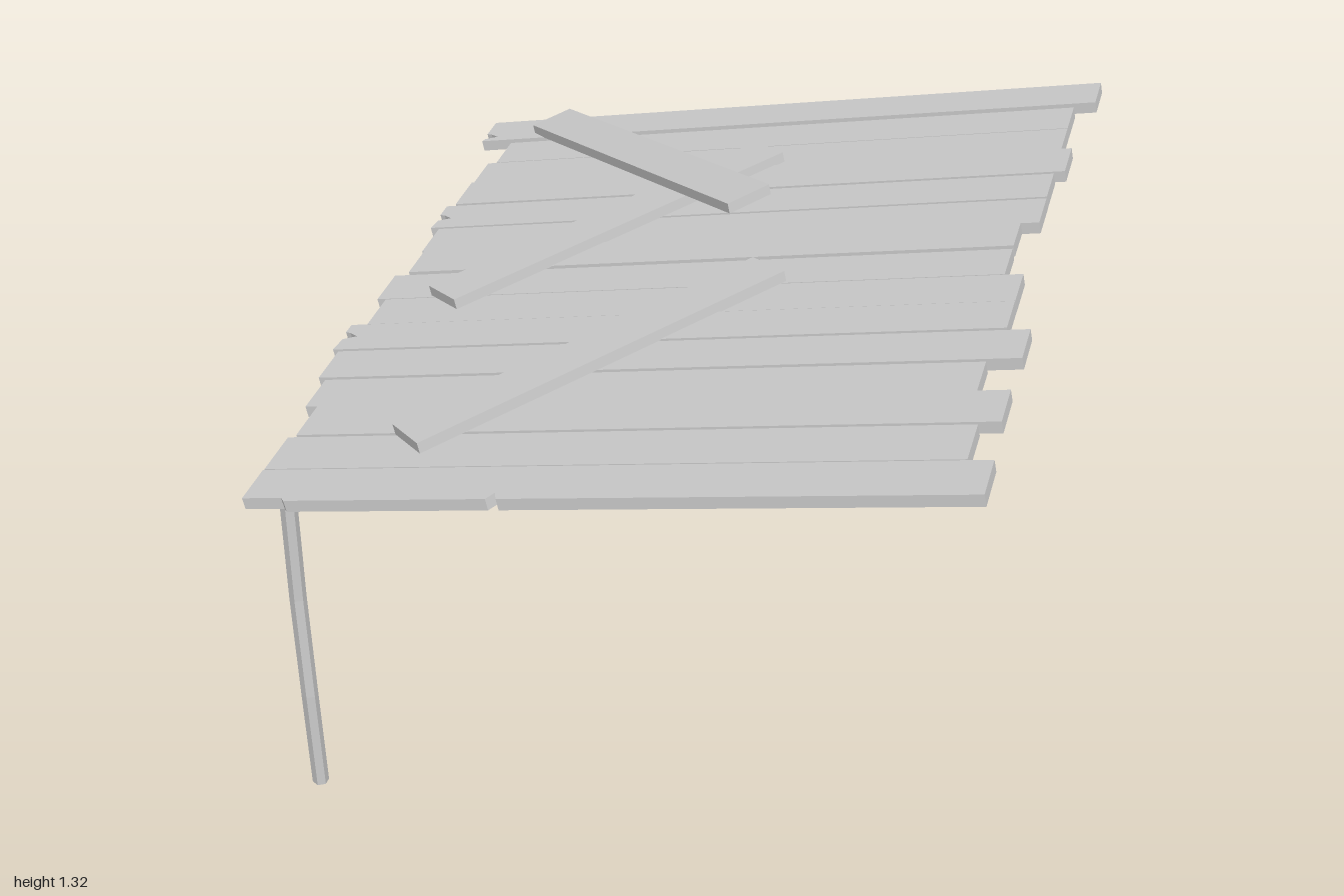
import * as THREE from 'three';

const SLOPE = 0.2;
const roofBottom = (x) => 1.107 + SLOPE * x;
const material = new THREE.MeshStandardMaterial({ color: 0xcccccc, flatShading: true });

function addMesh(parent, name, geometry) {
  const mesh = new THREE.Mesh(geometry, material);
  mesh.name = name;
  parent.add(mesh);
}

// Board with an outline in x/z, laid on the sloping surface given by heightAt
function board(outline, thickness, heightAt) {
  const shape = new THREE.Shape(outline.map(([x, z]) => new THREE.Vector2(x, -z)));
  const g = new THREE.ExtrudeGeometry(shape, { depth: thickness, bevelEnabled: false });
  g.rotateX(-Math.PI / 2);
  const p = g.attributes.position;
  for (let i = 0; i < p.count; i++) {
    const x = p.getX(i), y = p.getY(i);
    p.setXYZ(i, x - SLOPE * (y - thickness), heightAt(x) + y, p.getZ(i));
  }
  g.computeVertexNormals();
  return g;
}

// Crooked faceted pole through a few points
function pole(points, radius, sides = 6) {
  const pts = points.map((a) => new THREE.Vector3(...a));
  const n = pts.length - 1;
  const axis = pts[n].clone().sub(pts[0]).normalize();
  const turn = new THREE.Quaternion().setFromUnitVectors(new THREE.Vector3(0, 1, 0), axis);
  const g = new THREE.CylinderGeometry(radius, radius, 1, sides, n);
  const p = g.attributes.position, v = new THREE.Vector3();
  for (let i = 0; i < p.count; i++) {
    const ring = Math.round((p.getY(i) + 0.5) * n);
    v.set(p.getX(i), 0, p.getZ(i)).applyQuaternion(turn).add(pts[ring]);
    p.setXYZ(i, v.x, v.y, v.z);
  }
  g.computeVertexNormals();
  return g;
}

export function createModel() {
  const model = new THREE.Group();
  model.name = 'leanToRoof';

  // Roof planks: [zMin, zMax, xMin, xMax, lift]
  const planks = [
    [-1, -0.875, -0.895, 0.885, 0.006],
    [-0.863, -0.735, -0.8, 0.83, 0],
    [-0.732, -0.61, -0.825, 0.83, 0],
    [-0.605, -0.472, -0.83, 0.857, 0.003],
    [-0.467, -0.338, -0.855, 0.83, 0],
    [-0.335, -0.205, -0.83, 0.83, -0.003],
    [-0.2, -0.08, -0.82, 0.785, 0.002],
    [-0.067, 0.06, -0.855, 0.785, 0],
    [0.063, 0.192, -0.83, 0.83, 0],
    [0.198, 0.322, -0.872, 0.83, 0.003],
    [0.327, 0.455, -0.855, 0.885, 0],
    [0.46, 0.585, -0.835, 0.805, -0.004],
    [0.59, 0.72, -0.8, 0.88, 0],
    [0.725, 0.862, -0.82, 0.83, -0.003],
    [0.87, 1, -0.82, 0.888, 0],
  ];
  const splitEnds = { 0: -0.908, 4: -0.4, 9: 0.25 };
  const roof = new THREE.Group();
  roof.name = 'roofPlanks';
  planks.forEach(([z0, z1, x0, x1, lift], i) => {
    const outline = [[x0, z0], [x1, z0], [x1, z1]];
    // Chipped long edge on the front plank
    if (i === 14) outline.push([-0.19, z1], [-0.2, z1 - 0.025], [-0.215, z1], [-0.71, z1], [-0.72, z1 - 0.012], [x0, z1 - 0.012]);
    else outline.push([x0, z1]);
    // Split in the low end of some planks
    const s = splitEnds[i];
    if (s !== undefined) outline.push([x0 + 0.005, s + 0.02], [x0 + 0.04, s + 0.008], [x0 + 0.015, s - 0.01], [x0, s - 0.015]);
    addMesh(roof, 'roofPlank' + (i + 1), board(outline, 0.03, (x) => roofBottom(x) + lift));
  });
  model.add(roof);

  // Loose boards laid diagonally; the last one rests on another
  const onRoof = (x) => roofBottom(x) + 0.031;
  addMesh(model, 'frontLooseBoard',
    board([[-0.545, 0.725], [-0.45, 0.81], [0.24, 0.05], [0.14, -0.03]], 0.028, onRoof));
  addMesh(model, 'middleLooseBoard',
    board([[-0.71, 0.05], [-0.61, 0.13], [0.075, -0.63], [-0.02, -0.71]], 0.028, onRoof));
  addMesh(model, 'topLooseBoard',
    board([[-0.66, -1], [-0.745, -0.91], [0.02, -0.24], [0.108, -0.33]], 0.028,
      (x) => onRoof(x) + 0.004 + 0.05 * (x + 0.72) / 0.83));

  // Crooked legs
  addMesh(model, 'frontLeg',
    pole([[-0.77, 0, 0.868], [-0.768, 0.3, 0.874], [-0.772, 0.6, 0.866], [-0.766, 0.92, 0.866]], 0.021));
  addMesh(model, 'backLeg',
    pole([[-0.77, 0, -0.979], [-0.772, 0.3, -0.968], [-0.768, 0.6, -0.977], [-0.767, 0.92, -0.981]], 0.021));

  // Rafters under the planks and the cross pole on the legs
  addMesh(model, 'frontRafter',
    pole([[-0.835, 0.925, 0.868], [-0.28, 1.035, 0.858], [0.27, 1.146, 0.876], [0.825, 1.255, 0.868]], 0.02));
  addMesh(model, 'backRafter',
    pole([[-0.835, 0.92, -0.981], [-0.3, 1.01, -0.968], [0.22, 1.102, -0.97], [0.825, 1.26, -0.979]], 0.02));
  addMesh(model, 'crossPole',
    pole([[-0.775, 0.92, 0.89], [-0.778, 0.917, 0.26], [-0.772, 0.922, -0.37], [-0.775, 0.92, -0.998]], 0.019));

  return model;
}
